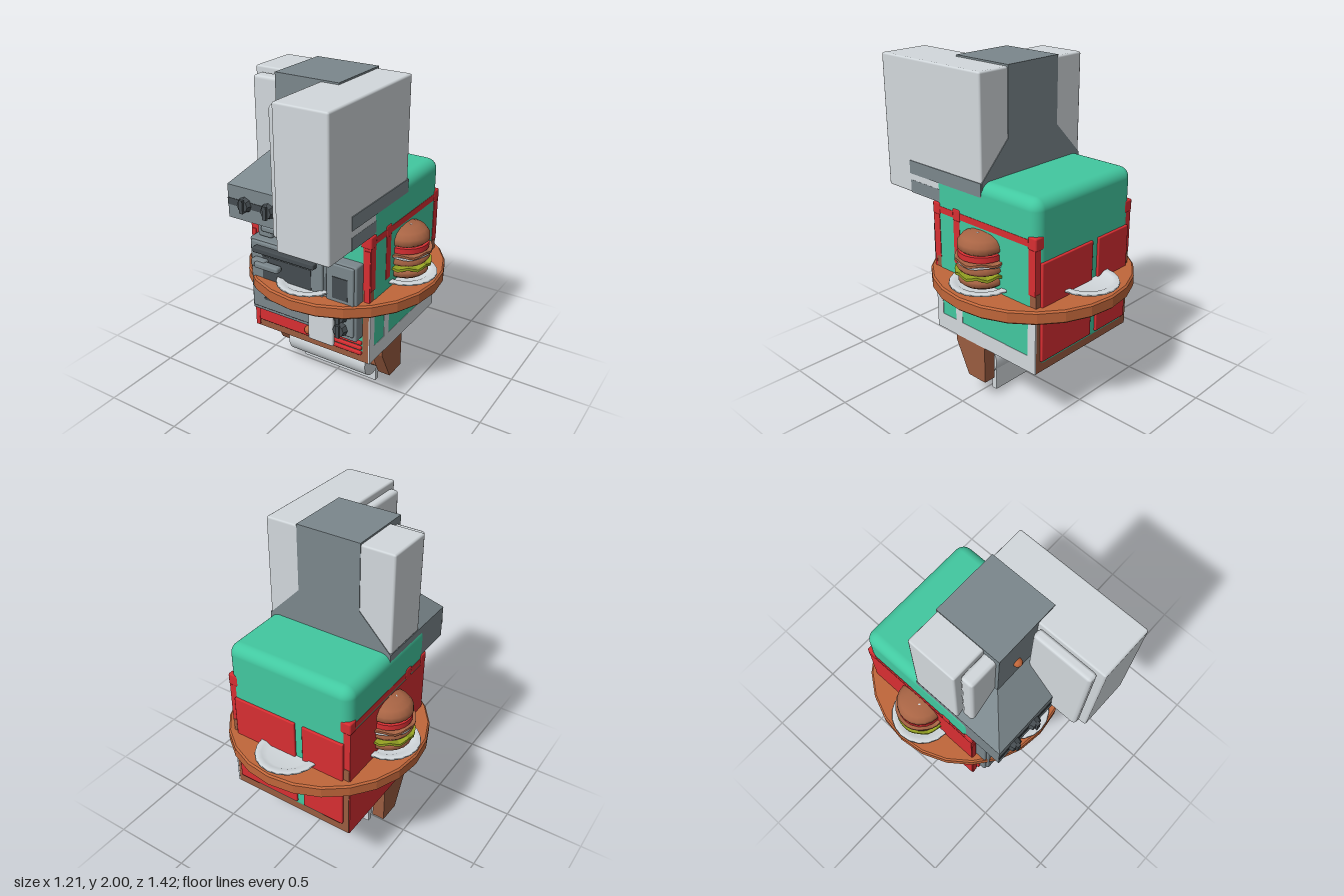
import * as THREE from 'three';
import { RoundedBoxGeometry } from 'three/addons/geometries/RoundedBoxGeometry.js';

export function createModel() {
  const model = new THREE.Group();
  const paint = (name, color, side = THREE.FrontSide) => {
    const m = new THREE.MeshStandardMaterial({ color, side });
    m.name = name;
    return m;
  };
  const white = paint('pale metal', 0xd2d8dc, THREE.DoubleSide);
  const steel = paint('dark steel', 0x7b878c);
  const black = paint('charcoal', 0x454c50);
  const green = paint('mint green', 0x42c8a0);
  const red = paint('red', 0xd82e32);
  const brown = paint('brown wood', 0x9a5c40);
  const orange = paint('orange wood', 0xc0663a);
  const bread = paint('bread', 0xa86444);
  const leaf = paint('lettuce green', 0x93a022);

  const add = (name, geo, mat, x = 0, y = 0, z = 0, parent = model) => {
    const mesh = new THREE.Mesh(geo, mat);
    mesh.name = name;
    mesh.position.set(x, y, z);
    parent.add(mesh);
    return mesh;
  };
  // Box given by its limits, optionally with rounded edges
  const box = (name, mat, x0, x1, y0, y1, z0, z1, r = 0) => {
    const s = [x1 - x0, y1 - y0, z1 - z0];
    const geo = r ? new RoundedBoxGeometry(...s, r > 0.03 ? 5 : 1, r) : new THREE.BoxGeometry(...s);
    return add(name, geo, mat, (x0 + x1) / 2, (y0 + y1) / 2, (z0 + z1) / 2);
  };
  const lathe = (pts, n) => new THREE.LatheGeometry(pts.map(p => new THREE.Vector2(...p)), n);
  const faceted = geo => {
    const g = geo.toNonIndexed();
    g.computeVertexNormals();
    return g;
  };

  // Green rounded body with the brown cabinet inside its lower half
  box('greenBody', green, -0.407, 0.407, 0.374, 1.39, -0.508, 0.302, 0.065);
  box('cabinet', brown, -0.404, 0.404, 0.37, 0.86, -0.505, 0.299);

  // White framing on the left side, red panelling on the right side
  box('sideSill', white, 0.4, 0.409, 0.37, 0.47, -0.506, 0.3);
  for (const [a, b] of [[-0.506, -0.45], [0.08, 0.135], [0.25, 0.3]])
    box('sideUpright', white, 0.4, 0.409, 0.47, 0.7, a, b);
  box('sidePanel', red, -0.409, -0.4, 0.37, 1.12, -0.5, 0.3);

  // Red posts with caps and side rails
  for (const s of [-1, 1]) {
    for (const z of [-0.478, 0.107, 0.275]) {
      add('post', new THREE.BoxGeometry(0.05, 0.27, 0.05), red, s * 0.384, 0.985, z);
      add('postCap', new RoundedBoxGeometry(0.068, 0.075, 0.062, 1, 0.01), red, s * 0.378, 1.152, z);
    }
    add('sideRail', new THREE.BoxGeometry(0.02, 0.04, 0.75), red, s * 0.399, 1.15, -0.1);
  }

  // Back doors
  box('wideDoor', red, -0.05, 0.37, 0.44, 1.04, -0.522, -0.5, 0.006);
  box('narrowDoor', red, -0.37, -0.1, 0.44, 1.04, -0.522, -0.5, 0.006);

  // Front drawer, slats and small knobs
  box('frontTrim', red, -0.405, -0.375, 0.38, 1.04, 0.29, 0.305);
  box('frontTrimLeft', red, 0.37, 0.405, 0.78, 1.1, 0.29, 0.305);
  box('drawer', red, -0.37, 0.165, 0.425, 0.52, 0.295, 0.318, 0.008);
  for (let i = 0; i < 3; i++)
    box('slat', red, 0.17, 0.36, 0.422 + i * 0.034, 0.444 + i * 0.034, 0.295, 0.318, 0.006);
  for (const [x, y, z] of [[0, 0.475, 0.318], [-0.06, 0.535, 0.305], [0.2, 0.535, 0.305], [-0.06, 1.74, 0.305]])
    add('smallKnob', new THREE.SphereGeometry(0.027, 10, 8), orange, x, y, z);

  // Oven with door, window, handle and control panel
  box('ovenBody', steel, -0.37, 0.36, 0.54, 1.02, 0.28, 0.37, 0.01);
  box('ovenDoor', steel, -0.355, 0.145, 0.57, 1.01, 0.36, 0.386, 0.008);
  box('ovenWindow', black, -0.27, 0.07, 0.7, 0.93, 0.384, 0.389);
  box('ovenHandle', black, -0.315, 0.11, 0.955, 0.99, 0.38, 0.425, 0.008);
  box('ovenSlot', black, -0.27, 0.07, 0.635, 0.65, 0.384, 0.389);
  box('controlPanel', steel, 0.165, 0.345, 0.57, 1.01, 0.36, 0.382, 0.008);
  box('controlDisplay', black, 0.21, 0.31, 0.8, 0.935, 0.38, 0.386);

  // Octagonal control knobs
  const knob = (x, y, z) => {
    const k = add('controlKnob', faceted(new THREE.CylinderGeometry(0.036, 0.047, 0.03, 8)), black, x, y, z + 0.015);
    k.rotation.x = Math.PI / 2;
    box('knobGrip', black, x - 0.012, x + 0.012, y - 0.04, y + 0.04, z + 0.025, z + 0.043);
  };
  knob(0.265, 0.61, 0.382);
  knob(0.265, 0.7, 0.382);
  knob(-0.285, 1.29, 0.498);
  knob(-0.125, 1.29, 0.498);

  // Lever taps on the front
  for (const [y, z, h] of [[1.09, 0.3, 0.12], [0.89, 0.38, 0.05]]) {
    box('tapBase', steel, -0.325, -0.225, y - h / 2, y + h / 2, z, z + 0.05, 0.012);
    box('tapLever', steel, -0.29, -0.12, y - 0.018, y + 0.018, z + 0.02, z + 0.07, 0.012);
  }

  // Hanging cloth
  box('cloth', white, 0.06, 0.23, 0.49, 0.7, 0.388, 0.412, 0.008);

  // Round table through the body
  const table = lathe([[0, 0.7], [0.595, 0.7], [0.605, 0.71], [0.605, 0.77], [0.595, 0.78], [0, 0.78]], 24);
  add('roundTable', faceted(table), orange, 0, 0, -0.105);

  // Four plates
  const plate = lathe([[0, 0], [0.12, 0], [0.19, 0.026], [0.186, 0.038], [0.15, 0.036], [0.12, 0.018], [0, 0.018]], 20);
  for (const [x, z] of [[0.412, -0.1], [-0.412, -0.1], [0, 0.31], [0, -0.52]])
    add('plate', plate, white, x, 0.782, z);

  // Burgers in stacked layers; leafy layers are waved by a rule
  const wavy = (r, h, waves, amp) => {
    const g = new THREE.CylinderGeometry(r, r, h, 32);
    const p = g.attributes.position;
    for (let i = 0; i < p.count; i++) {
      const x = p.getX(i), z = p.getZ(i), d = Math.hypot(x, z) / r;
      p.setY(i, p.getY(i) + amp * d * Math.sin(waves * Math.atan2(z, x)));
    }
    return faceted(g);
  };
  const bunTop = lathe([[0, 0], [0.12, 0], [0.14, 0.018], [0.137, 0.05], [0.115, 0.08], [0.07, 0.098], [0, 0.103]], 20);
  const bunBase = lathe([[0, 0], [0.115, 0], [0.137, 0.018], [0.137, 0.045], [0.12, 0.06], [0, 0.06]], 20);
  const patty = lathe([[0, 0], [0.13, 0], [0.145, 0.02], [0.13, 0.045], [0, 0.045]], 20);
  for (const s of [-1, 1]) {
    const burger = new THREE.Group();
    burger.name = 'burger';
    burger.position.set(s * 0.408, 0, -0.1);
    model.add(burger);
    add('bottomBun', bunBase, bread, 0, 0.815, 0, burger);
    add('lettuce', wavy(0.155, 0.016, 8, 0.009), leaf, 0, 0.887, 0, burger);
    add('patty', patty, bread, 0, 0.9, 0, burger);
    add('cheese', wavy(0.145, 0.012, 5, 0.004), white, 0, 0.953, 0, burger);
    add('bacon', wavy(0.155, 0.014, 6, 0.008), bread, 0, 0.968, 0, burger);
    add('tomato', new THREE.CylinderGeometry(0.137, 0.137, 0.034, 20), red, 0, 0.998, 0, burger);
    add('topBun', bunTop, bread, 0, 1.016, 0, burger);
    for (let i = 0; i < 9; i++) {
      const a = i * 2.4, r = 0.03 + 0.009 * i;
      const seed = add('sesameSeed', new THREE.SphereGeometry(0.009, 6, 4), white,
        Math.cos(a) * r, 1.117 - 2.9 * r * r, Math.sin(a) * r, burger);
      seed.scale.set(1.3, 0.6, 0.7);
      seed.rotation.y = a;
    }
  }

  // Extractor hood lofted from rectangles: [y, half width, front z]
  const rings = [[1.19, 0.403, 0.5], [1.39, 0.403, 0.5], [1.6, 0.2, 0.3], [2, 0.2, 0.3]];
  const pos = [], idx = [];
  for (const [y, w, f] of rings) pos.push(-w, y, f, w, y, f, w, y, -0.104, -w, y, -0.104);
  for (let k = 0; k < 3; k++) for (let i = 0; i < 4; i++) {
    const a = k * 4 + i, b = k * 4 + (i + 1) % 4;
    idx.push(a, b, b + 4, a, b + 4, a + 4);
  }
  idx.push(0, 2, 1, 0, 3, 2, 12, 13, 14, 12, 14, 15);
  const hood = new THREE.BufferGeometry();
  hood.setAttribute('position', new THREE.Float32BufferAttribute(pos, 3));
  hood.setIndex(idx);
  add('extractorHood', faceted(hood), steel);
  box('hoodGroove', black, -0.404, 0.08, 1.27, 1.31, 0.495, 0.503);
  box('hoodUpperBand', steel, 0.401, 0.41, 1.31, 1.39, -0.1, 0.5);
  box('hoodLowerBand', steel, 0.401, 0.406, 1.2, 1.27, -0.1, 0.5);

  // Corner wall cabinet: two wings, each with a door
  box('cabinetLongWing', white, 0.08, 0.405, 1.19, 1.99, -0.1, 0.71, 0.012);
  box('cabinetShortWing', white, -0.405, 0.1, 1.392, 1.99, -0.1, 0.2, 0.012);
  box('longWingDoor', white, 0.025, 0.085, 1.24, 1.955, 0.31, 0.67, 0.02);
  box('shortWingDoor', white, -0.368, 0.05, 1.4, 1.96, 0.2, 0.28, 0.02);

  // Paper roll holder under the cabinet
  const bracket = new THREE.Shape([[-0.14, 0.372], [-0.14, 0.33], [-0.04, 0.13], [0.1, 0.13], [0.1, 0.372]]
    .map(p => new THREE.Vector2(...p)));
  const bracketGeo = new THREE.ExtrudeGeometry(bracket, { depth: 0.08, bevelEnabled: false });
  bracketGeo.rotateY(Math.PI / 2);
  for (const x of [-0.405, 0.325]) add('rollBracket', bracketGeo, brown, x);
  box('holderTop', brown, -0.33, 0.33, 0.33, 0.372, -0.1, 0.14);
  const rod = add('rollRod', new THREE.CylinderGeometry(0.035, 0.035, 0.66, 12), brown, 0, 0.2, 0.03);
  const roll = add('paperRoll', new THREE.CylinderGeometry(0.105, 0.105, 0.565, 24), white, 0, 0.2, 0.03);
  rod.rotation.z = roll.rotation.z = Math.PI / 2;
  box('paperSheet', white, -0.27, 0.27, 0, 0.2, -0.058, -0.024);

  return model;
}
